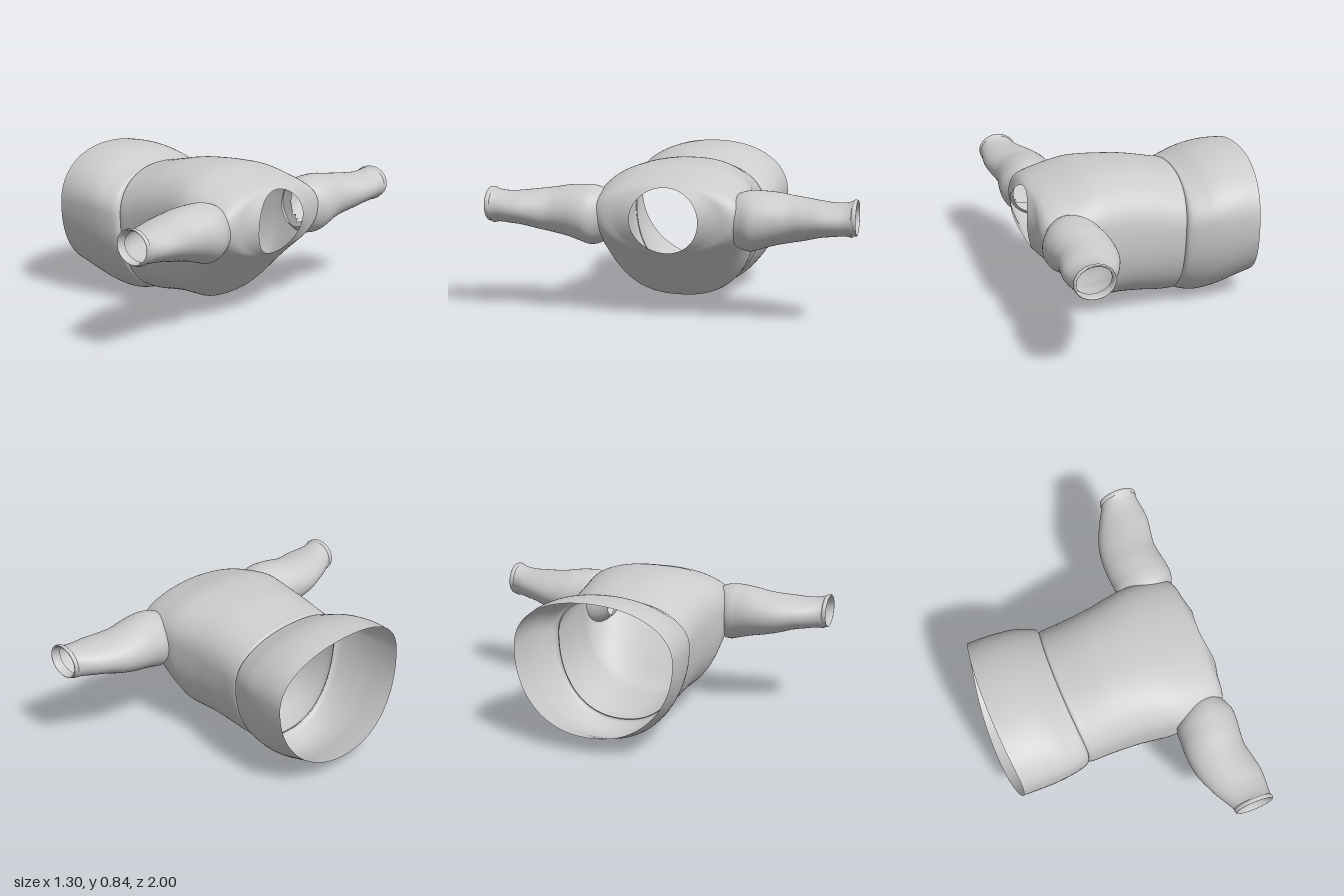
import * as THREE from 'three';

const material = new THREE.MeshStandardMaterial({ color: 0xcccccc, side: THREE.DoubleSide });
const SEGMENTS = 96;

// Smooth every column of a table of cross-sections
function smoothRows(rows, steps) {
  const columns = rows[0].map((_, c) =>
    new THREE.SplineCurve(rows.map((r, i) => new THREE.Vector2(i, r[c]))));
  return Array.from({ length: steps + 1 }, (_, i) => columns.map((s) => s.getPoint(i / steps).y));
}

// Skin a series of closed rings; skip(point) leaves an opening
function loft(name, rows, pointAt, skip = () => false) {
  const positions = [], index = [];
  for (const row of rows) {
    for (let j = 0; j < SEGMENTS; j++) {
      positions.push(...pointAt(row, (j / SEGMENTS) * Math.PI * 2));
    }
  }
  for (let i = 0; i < rows.length - 1; i++) {
    for (let j = 0; j < SEGMENTS; j++) {
      const a = i * SEGMENTS + j, b = i * SEGMENTS + ((j + 1) % SEGMENTS);
      if (skip(positions[a * 3], positions[a * 3 + 1], positions[a * 3 + 2])) continue;
      index.push(a, a + SEGMENTS, b, b, a + SEGMENTS, b + SEGMENTS);
    }
  }
  const geometry = new THREE.BufferGeometry();
  geometry.setAttribute('position', new THREE.Float32BufferAttribute(positions, 3));
  geometry.setIndex(index);
  geometry.computeVertexNormals();
  const mesh = new THREE.Mesh(geometry, material);
  mesh.name = name;
  return mesh;
}

const power = (v, n) => Math.sign(v) * Math.pow(Math.abs(v), 2 / n);

// Egg-shaped ring across the body: x at top, x at bottom, side bulge along x,
// top y, widest y, bottom y, half width, squareness
function bodyPoint([xTop, xBottom, bulge, top, middle, bottom, width, n], angle) {
  const v = power(Math.sin(angle), n);
  const x = (xTop + xBottom) / 2 + ((xTop - xBottom) / 2) * v + bulge * (1 - v * v);
  const y = middle + v * (v > 0 ? top - middle : middle - bottom);
  return [x, y, width * power(Math.cos(angle), n)];
}

const hemRows = [
  [-0.645, -0.655, 0.045, 0.835, 0.54, 0.095, 0.455, 2.15],
  [-0.55, -0.55, 0.035, 0.838, 0.55, 0.06, 0.455, 2.15],
  [-0.46, -0.45, 0.03, 0.832, 0.55, 0.022, 0.452, 2.1],
  [-0.38, -0.37, 0.03, 0.815, 0.55, 0.003, 0.445, 2.05],
  [-0.32, -0.31, 0.025, 0.793, 0.54, 0.003, 0.434, 2.05],
  [-0.27, -0.25, 0.025, 0.772, 0.53, 0.02, 0.418, 2.1],
  [-0.245, -0.22, 0.025, 0.764, 0.52, 0.036, 0.402, 2.15],
  [-0.235, -0.21, 0.025, 0.752, 0.51, 0.055, 0.38, 2.2],
];

const torsoRows = [
  [-0.24, -0.215, 0.025, 0.752, 0.5, 0.055, 0.375, 2.2],
  [-0.23, -0.2, 0.025, 0.769, 0.5, 0.04, 0.388, 2.2],
  [-0.19, -0.16, 0.02, 0.776, 0.5, 0.039, 0.391, 2.25],
  [-0.1, -0.09, 0.01, 0.796, 0.51, 0.045, 0.39, 2.3],
  [0, 0, 0, 0.815, 0.52, 0.06, 0.393, 2.35],
  [0.12, 0.11, 0, 0.825, 0.54, 0.073, 0.402, 2.4],
  [0.22, 0.2, 0, 0.827, 0.56, 0.074, 0.417, 2.4],
  [0.3, 0.27, 0, 0.823, 0.57, 0.083, 0.43, 2.4],
  [0.37, 0.34, 0, 0.81, 0.575, 0.135, 0.435, 2.35],
  [0.44, 0.41, 0.005, 0.792, 0.575, 0.21, 0.433, 2.3],
  [0.51, 0.48, 0.015, 0.773, 0.57, 0.285, 0.425, 2.25],
  [0.56, 0.54, 0.03, 0.756, 0.565, 0.345, 0.4, 2.2],
  [0.583, 0.565, 0.038, 0.746, 0.56, 0.365, 0.35, 2.15],
  [0.597, 0.577, 0.036, 0.739, 0.56, 0.373, 0.27, 2.1],
  [0.608, 0.588, 0.047, 0.73, 0.56, 0.377, 0.184, 2],
];

// Ring across a sleeve: distance from centre, x range, y range
const sleeveRows = [
  [0.33, 0.375, 0.588, 0.44, 0.67],
  [0.385, 0.335, 0.612, 0.4, 0.7],
  [0.44, 0.303, 0.634, 0.388, 0.711],
  [0.5, 0.296, 0.633, 0.405, 0.71],
  [0.57, 0.29, 0.622, 0.425, 0.704],
  [0.65, 0.291, 0.614, 0.442, 0.69],
  [0.73, 0.303, 0.626, 0.46, 0.68],
  [0.81, 0.33, 0.638, 0.482, 0.672],
  [0.88, 0.362, 0.636, 0.492, 0.667],
  [0.94, 0.395, 0.628, 0.499, 0.672],
  [0.975, 0.412, 0.627, 0.494, 0.683],
];

// Cuff: small rolled rim and an inner lining
const cuffRows = [
  [0.975, 0.412, 0.627, 0.494, 0.683],
  [0.982, 0.409, 0.63, 0.502, 0.69],
  [0.994, 0.411, 0.63, 0.502, 0.69],
  [1, 0.414, 0.626, 0.505, 0.687],
  [0.997, 0.422, 0.618, 0.512, 0.68],
  [0.98, 0.424, 0.616, 0.514, 0.678],
  [0.95, 0.42, 0.616, 0.514, 0.668],
];

const sleevePoint = (side) => ([d, x0, x1, y0, y1], angle) => [
  (x0 + x1) / 2 + ((x1 - x0) / 2) * Math.cos(angle),
  (y0 + y1) / 2 - side * ((y1 - y0) / 2) * Math.sin(angle),
  side * d,
];

// Armholes in the sides of the torso
const inArmhole = (x, y, z) =>
  Math.abs(z) > 0.37 && ((x - 0.475) / 0.115) ** 2 + ((y - 0.565) / 0.115) ** 2 < 1;

export function createModel() {
  const group = new THREE.Group();
  group.name = 'sweater';
  group.add(loft('hemBand', smoothRows(hemRows, 56), bodyPoint));
  group.add(loft('torso', smoothRows(torsoRows, 112), bodyPoint, inArmhole));
  for (const side of [1, -1]) {
    const label = side > 0 ? 'front' : 'back';
    group.add(loft(label + 'Sleeve', smoothRows(sleeveRows, 60), sleevePoint(side)));
    group.add(loft(label + 'Cuff', smoothRows(cuffRows, 24), sleevePoint(side)));
  }
  return group;
}
